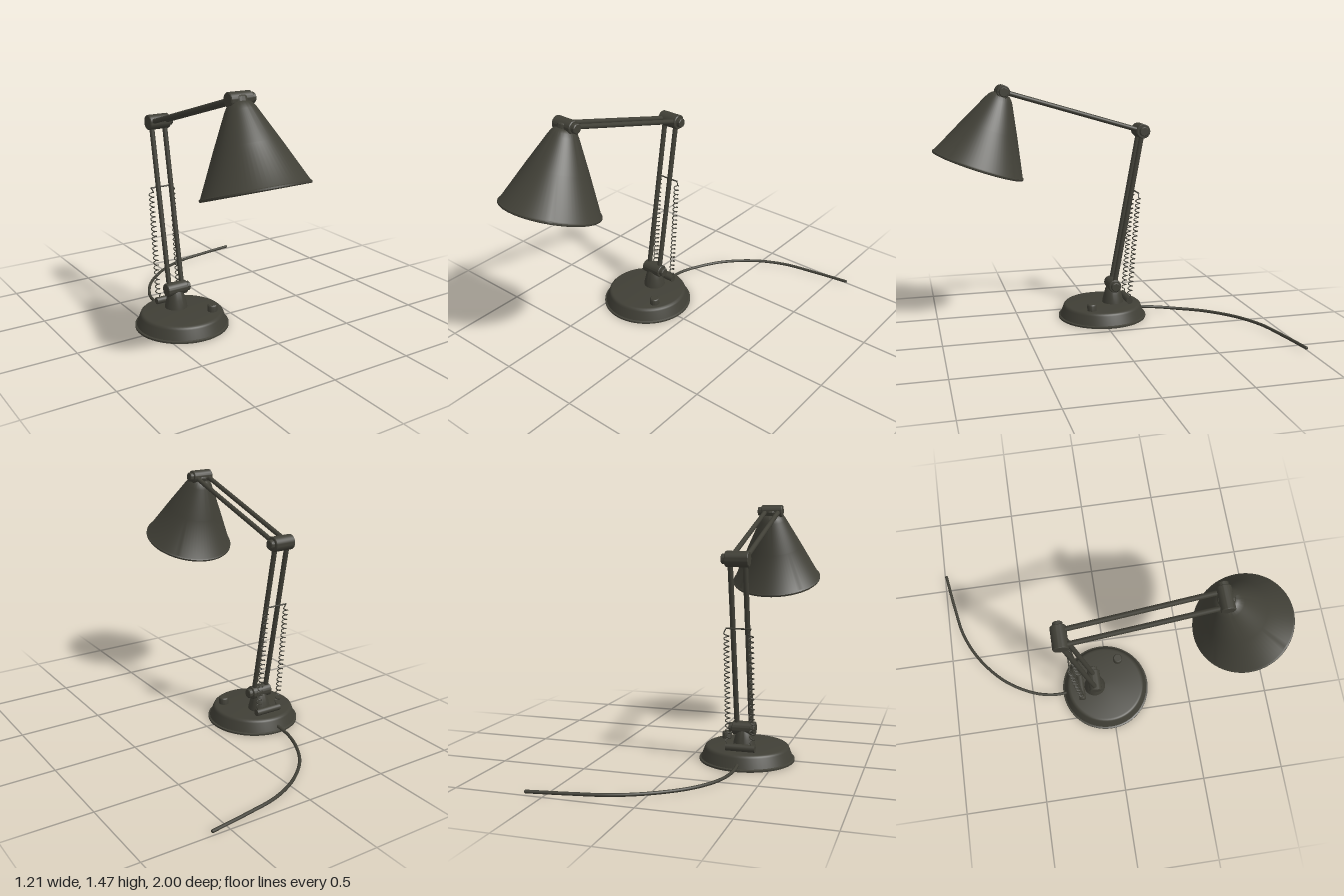
import * as THREE from 'three';
import { toCreasedNormals } from 'three/addons/utils/BufferGeometryUtils.js';

const CX = -0.323; // the lamp stands left of centre, the cable runs right
const V = (x, y, z) => new THREE.Vector3(x, y, z);

export function createModel() {
  const paint = new THREE.MeshStandardMaterial({ color: 0x403f36 });
  const lining = new THREE.MeshStandardMaterial({ color: 0x8f877b });
  paint.name = 'dark paint';
  lining.name = 'pale lining';

  const model = new THREE.Group();
  model.name = 'deskLamp';

  function add(name, geometry, parent = model, material = paint) {
    const mesh = new THREE.Mesh(geometry, material);
    mesh.name = name;
    parent.add(mesh);
    return mesh;
  }
  const lathe = (profile, segments = 64) => toCreasedNormals(
    new THREE.LatheGeometry(profile.map(p => new THREE.Vector2(p[0], p[1])), segments), 0.6);

  // Straight round rod between two points
  function rod(name, a, b, radius, parent = model) {
    const mesh = add(name, new THREE.CylinderGeometry(radius, radius, a.distanceTo(b), 20), parent);
    mesh.position.copy(a).lerp(b, 0.5);
    mesh.quaternion.setFromUnitVectors(V(0, 1, 0), b.clone().sub(a).normalize());
    return mesh;
  }

  // Weighted base with a thin foot flange and rounded shoulder
  const base = add('base', lathe([
    [0, 0], [0.277, 0], [0.277, 0.01], [0.267, 0.014], [0.247, 0.068],
    [0.243, 0.077], [0.236, 0.083], [0.226, 0.085], [0, 0.085]]));
  base.position.set(CX, 0, -0.027);

  // Switch knob on the base
  const knob = add('switchKnob', lathe([
    [0.029, 0.08], [0.029, 0.117], [0.027, 0.122], [0.023, 0.125], [0, 0.125]], 32));
  knob.position.set(-0.174, 0, 0.075);

  // Tapered post that carries the lower joint
  const post = add('post', lathe([
    [0.068, 0.08], [0.065, 0.1], [0.056, 0.14], [0.046, 0.175], [0.036, 0.195], [0, 0.2]], 40));
  post.position.set(CX, 0, -0.097);

  // Pivot joints: a barrel across x with a tightening knob on the left
  const hips = V(CX, 0.2, -0.097), elbow = V(CX, 1.177, -0.276), head = V(CX, 1.43, 0.579);
  function joint(name, at, radius) {
    const group = new THREE.Group();
    group.name = name;
    group.position.copy(at);
    model.add(group);
    const barrel = add('barrel', lathe([
      [0, -0.066], [radius - 0.004, -0.066], [radius, -0.062],
      [radius, 0.062], [radius - 0.004, 0.066], [0, 0.066]], 40), group);
    const grip = add('tighteningKnob', lathe([
      [0.028, 0.06], [0.028, 0.085], [0.024, 0.089], [0, 0.089]], 32), group);
    barrel.rotation.z = grip.rotation.z = -Math.PI / 2;
  }
  joint('lowerJoint', hips, 0.04);
  joint('elbowJoint', elbow, 0.044);
  joint('headJoint', head, 0.039);

  // Paired arms, springs and spring hooks
  for (const side of [-1, 1]) {
    const shift = V(side * 0.042, 0, 0);
    rod('lowerArm', hips.clone().add(shift), elbow.clone().add(shift), 0.0148);
    rod('upperArm', elbow.clone().add(shift), head.clone().add(shift), 0.0142);

    // Coil spring with straight ends
    const x = CX + side * 0.07, low = V(x, 0.105, -0.187), high = V(x, 0.794, -0.245);
    const turns = 21, steps = turns * 14, points = [low];
    for (let i = 0; i <= steps; i++) {
      const t = i / steps, angle = t * turns * Math.PI * 2;
      const p = low.clone().lerp(high, 0.06 + 0.9 * t);
      points.push(p.add(V(Math.cos(angle) * 0.014, 0, Math.sin(angle) * 0.014)));
    }
    points.push(high);
    add('spring', new THREE.TubeGeometry(
      new THREE.CatmullRomCurve3(points), steps * 2, 0.0033, 5));
  }

  // Bars that hold the two ends of the springs
  rod('upperSpringBar', V(CX - 0.072, 0.794, -0.245), V(CX + 0.072, 0.794, -0.245), 0.0045);
  rod('lowerSpringBar', V(CX - 0.085, 0.106, -0.186), V(CX + 0.085, 0.106, -0.186), 0.021);

  // Conical shade, tilted forward around its head joint
  const shade = new THREE.Group();
  shade.name = 'lampHead';
  shade.position.set(CX, 0.99, 0.734);
  shade.rotation.x = -0.338;
  model.add(shade);
  add('shade', lathe([
    [0.273, 0.002], [0.279, 0], [0.282, 0.004], [0.282, 0.012], [0.274, 0.018],
    [0.17, 0.235], [0.083, 0.41], [0.07, 0.432], [0.056, 0.446], [0.046, 0.45],
    [0.046, 0.472], [0.04, 0.48], [0, 0.482]], 72), shade);
  add('shadeLining', lathe([
    [0, 0.43], [0.062, 0.425], [0.165, 0.235], [0.273, 0.002]], 72), shade, lining);

  // Bulb and its socket inside the shade
  add('bulb', lathe([
    [0, 0.068], [0.025, 0.073], [0.046, 0.088], [0.058, 0.112], [0.06, 0.135],
    [0.052, 0.165], [0.036, 0.2], [0.028, 0.24]], 32), shade, lining);
  add('bulbSocket', lathe([
    [0, 0.235], [0.036, 0.235], [0.036, 0.42]], 32), shade);

  // Cable lying on the table
  const path = new THREE.CatmullRomCurve3([
    V(-0.33, 0.035, -0.27), V(-0.332, 0.027, -0.33), V(-0.325, 0.021, -0.4),
    V(-0.29, 0.014, -0.51), V(-0.193, 0.014, -0.67), V(-0.024, 0.017, -0.82),
    V(0.16, 0.018, -0.91), V(0.36, 0.018, -0.952), V(0.6, 0.018, -0.99)]);
  add('cable', new THREE.TubeGeometry(path, 80, 0.0095, 10));
  const tip = add('cableEnd', new THREE.SphereGeometry(0.0095, 10, 8));
  tip.position.set(0.596, 0.018, -0.9895);

  return model;
}
